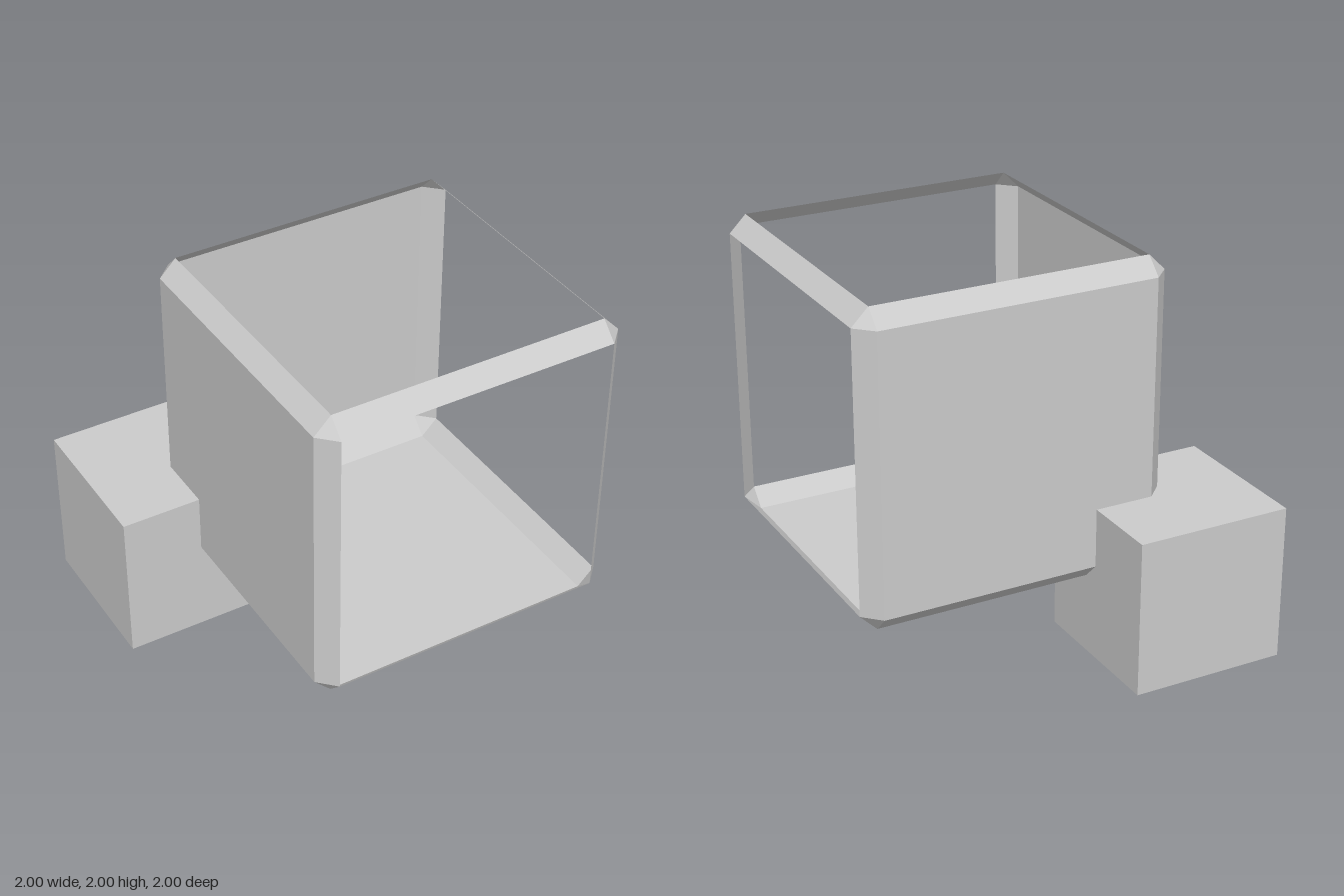
import * as THREE from 'three';

const LOW = -0.59, HIGH = 1, BEVEL = 0.086;   // large open box, same extent on every axis
const A = LOW + BEVEL, C = HIGH - BEVEL;      // flat part between the bevels
const MIN = -1, MAX = -0.2;                   // small cube, same extent on every axis

const material = new THREE.MeshStandardMaterial({ color: 0xcccccc, flatShading: true, side: THREE.DoubleSide });

// Flat panel from an outline, facing +z or (turned about the x = y diagonal) -z
function panel(points, z, facing) {
  const geometry = new THREE.ShapeGeometry(new THREE.Shape(points.map(([x, y]) => new THREE.Vector2(x, y))));
  if (facing < 0) {
    geometry.applyMatrix4(new THREE.Matrix4().makeRotationAxis(new THREE.Vector3(1, 1, 0).normalize(), Math.PI));
  }
  return geometry.translate(0, 0, z);
}

// Bevel strip running along z at one corner of the box section
function bevelStrip(sx, sy) {
  const start = sx < 0 && sy < 0 ? MAX : A;   // shortened where the small cube opens in
  const mid = s => (s > 0 ? HIGH - BEVEL / 2 : LOW + BEVEL / 2);
  return new THREE.PlaneGeometry(BEVEL * Math.SQRT2, C - start)
    .rotateX(-Math.PI / 2)
    .rotateZ(Math.atan2(-sx, sy))
    .translate(mid(sx), mid(sy), (start + C) / 2);
}

// Triangle closing a bevelled corner
function cornerTriangle(signs) {
  const outer = signs.map(s => (s > 0 ? HIGH : LOW));
  const inner = signs.map(s => (s > 0 ? C : A));
  const points = [0, 1, 2].map(i => new THREE.Vector3(...inner.map((v, j) => (i === j ? outer[j] : v))));
  if (signs[0] * signs[1] * signs[2] < 0) points.reverse();
  const geometry = new THREE.BufferGeometry().setFromPoints(points);
  geometry.computeVertexNormals();
  return geometry;
}

export function createModel() {
  const model = new THREE.Group();
  model.name = 'joinedCubes';
  const box = new THREE.Group();
  box.name = 'openBox';
  const cube = new THREE.Group();
  cube.name = 'smallCube';
  model.add(box, cube);

  const add = (group, name, geometry) => {
    const mesh = new THREE.Mesh(geometry, material);
    mesh.name = name;
    group.add(mesh);
  };

  // Box wall with a notch opening into the small cube
  const wall = [[MAX, A], [C, A], [C, C], [A, C], [A, MAX], [MAX, MAX]];
  // Full outer face of the small cube
  const square = [[MIN, MIN], [MAX, MIN], [MAX, MAX], [MIN, MAX]];
  // Inner face of the small cube, cut along the bevelled box
  const cutSquare = [[MIN, MIN], [MAX, MIN], [MAX, LOW], [A, LOW], [LOW, A], [LOW, MAX], [MIN, MAX]];

  // The form repeats three times about its long diagonal
  const diagonal = new THREE.Vector3(1, 1, 1).normalize();
  [['back', 'front'], ['right', 'left'], ['bottom', 'top']].forEach(([near, far], k) => {
    const turn = new THREE.Matrix4().makeRotationAxis(diagonal, k * Math.PI * 2 / 3);
    add(box, `${near}Wall`, panel(wall, LOW, -1).applyMatrix4(turn));
    add(cube, `${near}Face`, panel(square, MIN, -1).applyMatrix4(turn));
    add(cube, `${far}Face`, panel(cutSquare, MAX, 1).applyMatrix4(turn));
    for (const sx of [-1, 1]) for (const sy of [-1, 1]) {
      add(box, 'bevelStrip', bevelStrip(sx, sy).applyMatrix4(turn));
    }
  });

  // Seven bevelled corners; the eighth lies in the opening
  for (const x of [-1, 1]) for (const y of [-1, 1]) for (const z of [-1, 1]) {
    if (x + y + z > -3) add(box, 'bevelCorner', cornerTriangle([x, y, z]));
  }

  box.position.y = cube.position.y = 1;
  return model;
}
